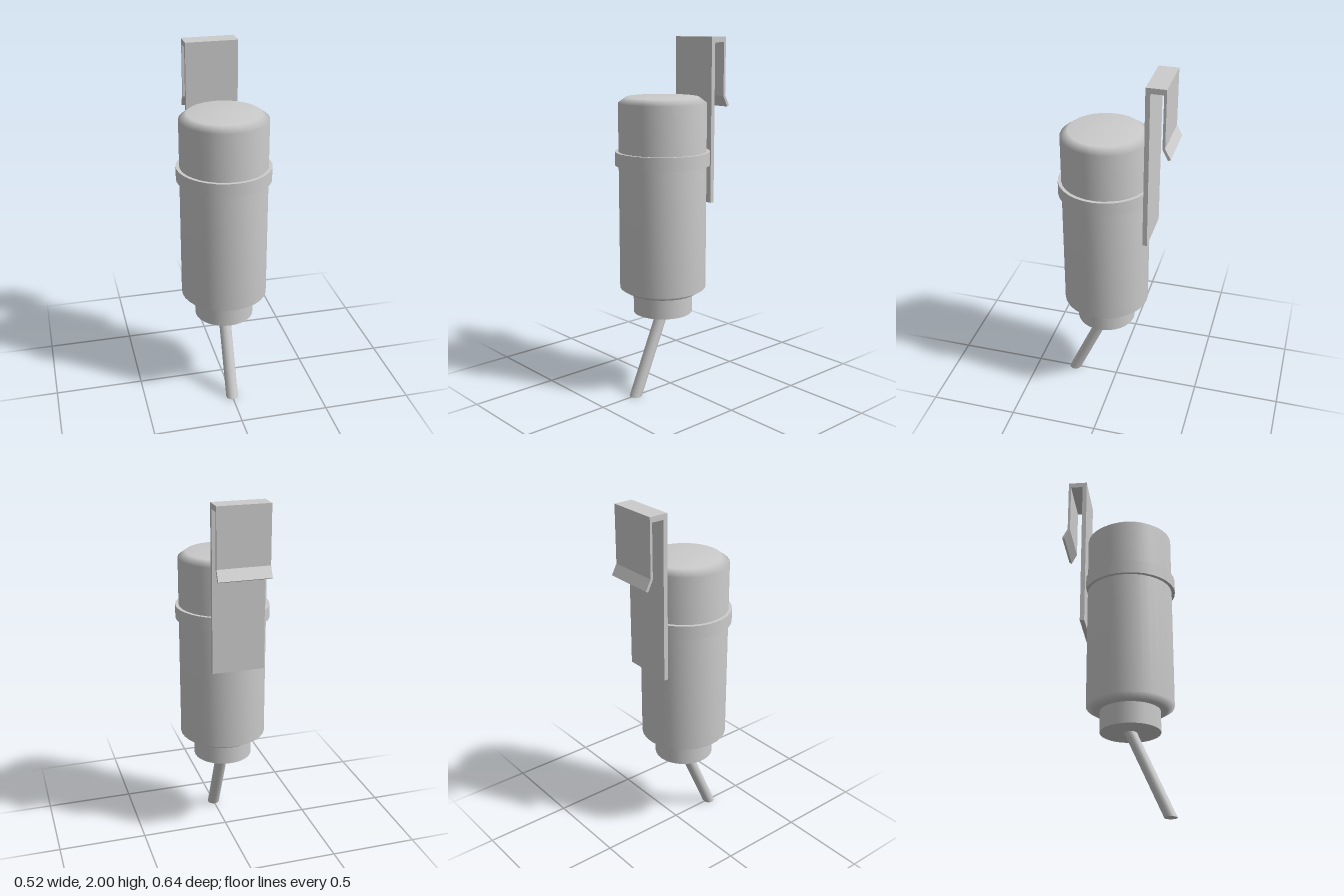
import * as THREE from 'three';

const CENTRE_Z = 0.058; // axis of the bottle
const SIDES = 32;

export function createModel() {
  const group = new THREE.Group();
  const material = new THREE.MeshStandardMaterial({ color: 0xcccccc });

  const add = (name, geometry, y = 0, z = CENTRE_Z) => {
    const mesh = new THREE.Mesh(geometry, material);
    mesh.name = name;
    mesh.position.set(0, y, z);
    group.add(mesh);
    return mesh;
  };

  // Upright cylinder between two heights
  const drum = (name, radius, y0, y1) =>
    add(name, new THREE.CylinderGeometry(radius, radius, y1 - y0, SIDES), (y0 + y1) / 2);

  // Bottle with softly shaded, chamfered ends
  const profile = [
    [0, 0.585], [0.2, 0.585], [0.243, 0.612], [0.243, 1.65], [0.2, 1.682], [0, 1.682],
  ].map(([r, y]) => new THREE.Vector2(r, y));
  add('bottle', new THREE.LatheGeometry(profile, SIDES));

  drum('strap', 0.262, 1.31, 1.385);
  drum('cap', 0.167, 0.465, 0.59);

  // Drinking tube: leans forward, with both ends cut level
  const tubeHeight = 0.467;
  const tube = new THREE.CylinderGeometry(0.035, 0.035, tubeHeight, 16);
  tube.translate(0, tubeHeight / 2, 0);
  tube.applyMatrix4(new THREE.Matrix4().set(
    1, 0, 0, 0,
    0, 1, 0, 0,
    0, -0.207 / tubeHeight, 1, 0.265,
    0, 0, 0, 1,
  ));
  add('drinkingTube', tube, 0, 0);

  // Hanging clip: side outline (z, y) extruded across x
  const outline = new THREE.Shape([
    [-0.183, 1.08], [-0.183, 2], [-0.291, 2], [-0.291, 1.68], [-0.322, 1.622],
    [-0.308, 1.615], [-0.277, 1.675], [-0.277, 1.97], [-0.208, 1.97], [-0.208, 1.08],
  ].map(([z, y]) => new THREE.Vector2(z, y)));
  const clip = new THREE.ExtrudeGeometry(outline, { depth: 0.291, bevelEnabled: false });
  clip.rotateY(-Math.PI / 2);
  clip.translate(0.135, 0, 0);
  add('hangingClip', clip, 0, 0);

  return group;
}
